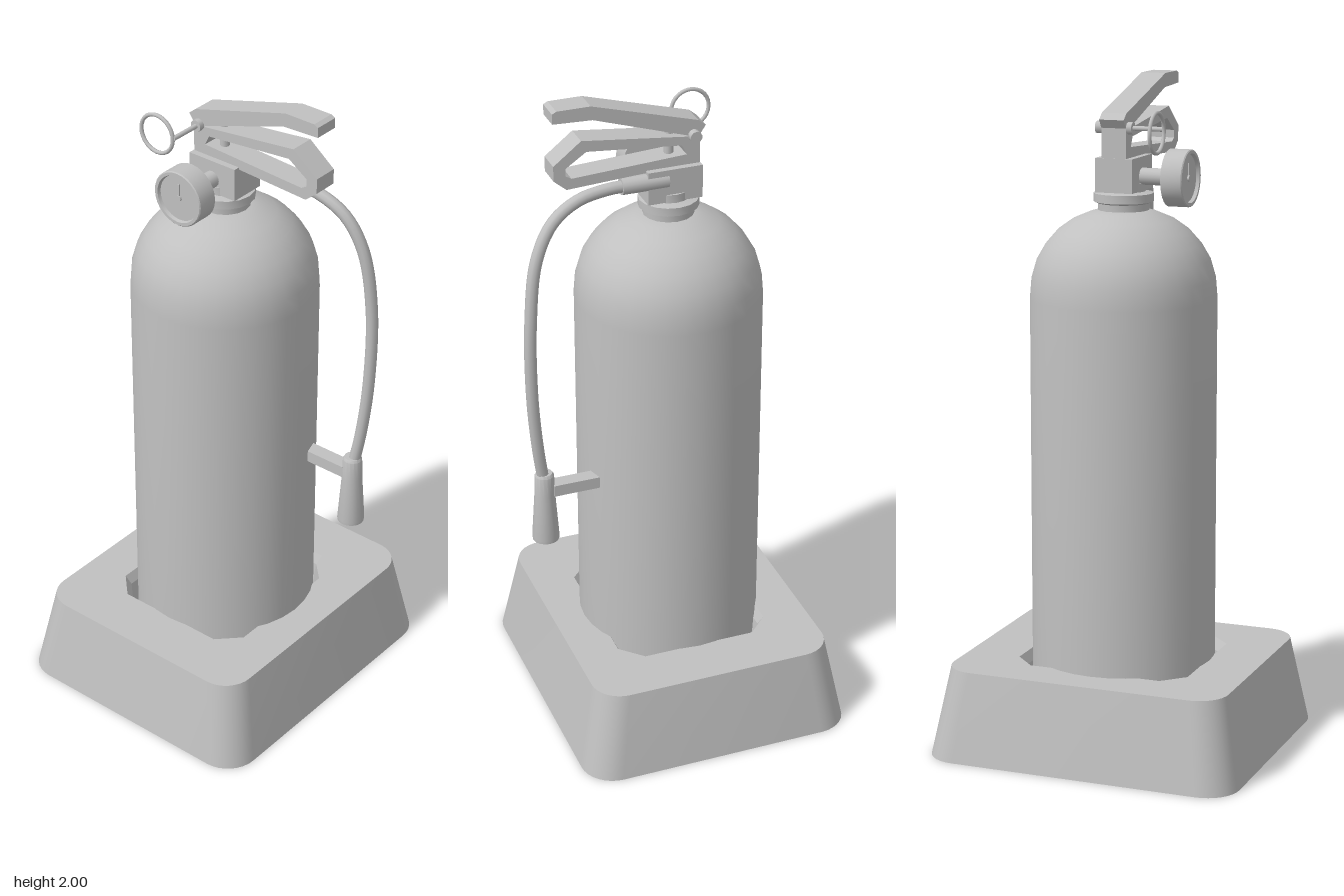
import * as THREE from 'three';
import { toCreasedNormals } from 'three/addons/utils/BufferGeometryUtils.js';

const CX = -0.024; // axis of the tank and stand

export function createModel() {
  const model = new THREE.Group();
  model.name = 'fireExtinguisher';
  const grey = new THREE.MeshStandardMaterial({ color: 0xc0c0c0 });
  grey.name = 'plain grey';

  const add = (name, geometry, x = 0, y = 0, z = 0, parent = model) => {
    const mesh = new THREE.Mesh(geometry, grey);
    mesh.name = name;
    mesh.position.set(x, y, z);
    parent.add(mesh);
    return mesh;
  };
  const vec2 = (list) => list.map(([x, y]) => new THREE.Vector2(x, y));
  const lathe = (profile, sides, crease = 0.6) =>
    toCreasedNormals(new THREE.LatheGeometry(vec2(profile), sides), crease);

  // Rectangle whose corners are arcs (n > 1) or chamfers (n = 1), counter-clockwise
  const rounded = (hw, hd, r, n) => {
    const pts = [];
    [[1, 1], [-1, 1], [-1, -1], [1, -1]].forEach(([sx, sy], k) => {
      for (let i = 0; i <= n; i++) {
        const a = (k + i / n) * Math.PI / 2;
        pts.push(new THREE.Vector2(sx * (hw - r) + r * Math.cos(a), sy * (hd - r) + r * Math.sin(a)));
      }
    });
    return pts;
  };
  // Wall between two loops of equal count; faces outward when b is above a
  const wall = (a, ya, b, yb) => {
    const v = [];
    const put = (p, y) => v.push(p.x, y, -p.y);
    a.forEach((p, i) => {
      const j = (i + 1) % a.length;
      put(p, ya); put(a[j], ya); put(b[j], yb);
      put(p, ya); put(b[j], yb); put(b[i], yb);
    });
    const g = new THREE.BufferGeometry();
    g.setAttribute('position', new THREE.Float32BufferAttribute(v, 3));
    return toCreasedNormals(g, 0.6);
  };

  // Stand: tapered block with a chamfered socket
  const stand = new THREE.Group();
  stand.name = 'stand';
  stand.position.x = CX;
  model.add(stand);
  const foot = rounded(0.425, 0.485, 0.1, 8);
  const rim = rounded(0.375, 0.435, 0.09, 8);
  const socketTop = rounded(0.24, 0.27, 0.065, 1);
  const socketStep = rounded(0.225, 0.255, 0.06, 1);
  const socketFloor = rounded(0.215, 0.245, 0.055, 1);
  add('standSides', wall(foot, 0, rim, 0.27), 0, 0, 0, stand);
  const topShape = new THREE.Shape(rim);
  topShape.holes.push(new THREE.Path(socketTop));
  add('standTop', new THREE.ShapeGeometry(topShape).rotateX(-Math.PI / 2), 0, 0.27, 0, stand);
  add('standBottom', new THREE.ShapeGeometry(new THREE.Shape(foot)).rotateX(Math.PI / 2), 0, 0, 0, stand);
  add('socketUpperWall', wall(socketTop, 0.27, socketStep, 0.24), 0, 0, 0, stand);
  add('socketLowerWall', wall(socketStep, 0.24, socketFloor, 0.17), 0, 0, 0, stand);
  add('socketFloor', new THREE.ShapeGeometry(new THREE.Shape(socketFloor)).rotateX(-Math.PI / 2), 0, 0.17, 0, stand);

  // Tank with domed shoulder
  add('tank', lathe([
    [0, 0.15], [0.277, 0.15], [0.277, 1.36], [0.272, 1.42], [0.256, 1.475], [0.23, 1.52],
    [0.195, 1.56], [0.15, 1.592], [0.1, 1.613], [0.075, 1.62], [0, 1.62],
  ], 32), CX);

  // Valve: round collars, body and spindle
  add('neckCollar', lathe([
    [0.075, 1.6], [0.076, 1.64], [0.089, 1.645], [0.089, 1.67], [0.065, 1.675], [0.065, 1.7], [0, 1.7],
  ], 16), CX);
  add('valveBody', new THREE.BoxGeometry(0.165, 0.1, 0.115), CX, 1.727, 0);
  add('valveSpindle', new THREE.CylinderGeometry(0.014, 0.014, 0.16, 12), CX, 1.82, 0);

  // Squeeze lever and carrying handle, cut as flat bars
  const bar = (outline, hole) => {
    const s = new THREE.Shape(vec2(outline));
    if (hole) s.holes.push(new THREE.Path(vec2(hole)));
    return new THREE.ExtrudeGeometry(s, { depth: 0.076, bevelEnabled: false }).translate(0, 0, -0.038);
  };
  add('squeezeLever', bar([
    [-0.105, 1.865], [-0.07, 1.865], [0.215, 1.958], [0.333, 1.963], [0.333, 1.993], [0.32, 2],
    [0.22, 2], [-0.1, 1.908], [-0.122, 1.89],
  ]));
  add('carryHandle', bar([
    [-0.105, 1.77], [0.06, 1.77], [0.295, 1.758], [0.333, 1.79], [0.333, 1.835], [0.25, 1.9], [-0.07, 1.862], [-0.105, 1.87],
  ], [
    [-0.065, 1.808], [-0.05, 1.838], [0.235, 1.865], [0.297, 1.823], [0.297, 1.8], [0.28, 1.79],
  ]));

  // Safety pin with its pull ring
  add('safetyPin', new THREE.CylinderGeometry(0.007, 0.007, 0.2, 10).rotateX(Math.PI / 2), -0.086, 1.865, 0.05);
  add('pinHead', new THREE.CylinderGeometry(0.018, 0.018, 0.022, 10).rotateX(Math.PI / 2), -0.086, 1.865, -0.048);
  add('pinCollar', new THREE.CylinderGeometry(0.018, 0.018, 0.018, 10).rotateX(Math.PI / 2), -0.086, 1.865, 0.045);
  add('pullRing', new THREE.TorusGeometry(0.058, 0.006, 8, 28), -0.147, 1.86, 0.149);

  // Pressure gauge facing the front
  const gauge = new THREE.Group();
  gauge.name = 'pressureGauge';
  gauge.position.set(CX, 1.72, 0);
  model.add(gauge);
  add('gaugeStem', new THREE.CylinderGeometry(0.025, 0.025, 0.1, 16).rotateX(Math.PI / 2), 0, 0, 0.1, gauge);
  add('gaugeCase', lathe([
    [0, 0.145], [0.084, 0.145], [0.084, 0.207], [0.081, 0.21], [0.072, 0.21], [0.069, 0.2], [0, 0.2],
  ], 28).rotateX(Math.PI / 2), 0, 0, 0, gauge);
  add('gaugeHub', new THREE.CylinderGeometry(0.009, 0.009, 0.006, 12).rotateX(Math.PI / 2), 0, 0, 0.203, gauge);
  add('gaugeNeedle', new THREE.BoxGeometry(0.005, 0.045, 0.004).translate(0, 0.022, 0), 0, 0, 0.202, gauge);

  // Hose, its fitting and nozzle
  add('hoseFitting', new THREE.CylinderGeometry(0.025, 0.025, 0.14, 14).rotateZ(Math.PI / 2), 0.065, 1.742, -0.04);
  const path = new THREE.CatmullRomCurve3([
    [0.11, 1.742, -0.04], [0.18, 1.742, -0.045], [0.27, 1.728, -0.056], [0.35, 1.68, -0.072], [0.405, 1.58, -0.088],
    [0.432, 1.39, -0.102], [0.433, 1.15, -0.1], [0.418, 0.97, -0.092], [0.399, 0.84, -0.081],
  ].map((p) => new THREE.Vector3(...p)));
  add('hose', new THREE.TubeGeometry(path, 48, 0.018, 10));
  add('nozzle', lathe([
    [0, 0.645], [0.022, 0.645], [0.04, 0.645], [0.041, 0.655], [0.031, 0.8], [0.029, 0.865], [0.024, 0.873], [0, 0.873],
  ], 16), 0.397, 0, -0.081);

  // Clip holding the nozzle to the tank
  add('nozzleClip', new THREE.BoxGeometry(0.18, 0.036, 0.045), 0.285, 0.816, -0.083);
  return model;
}
